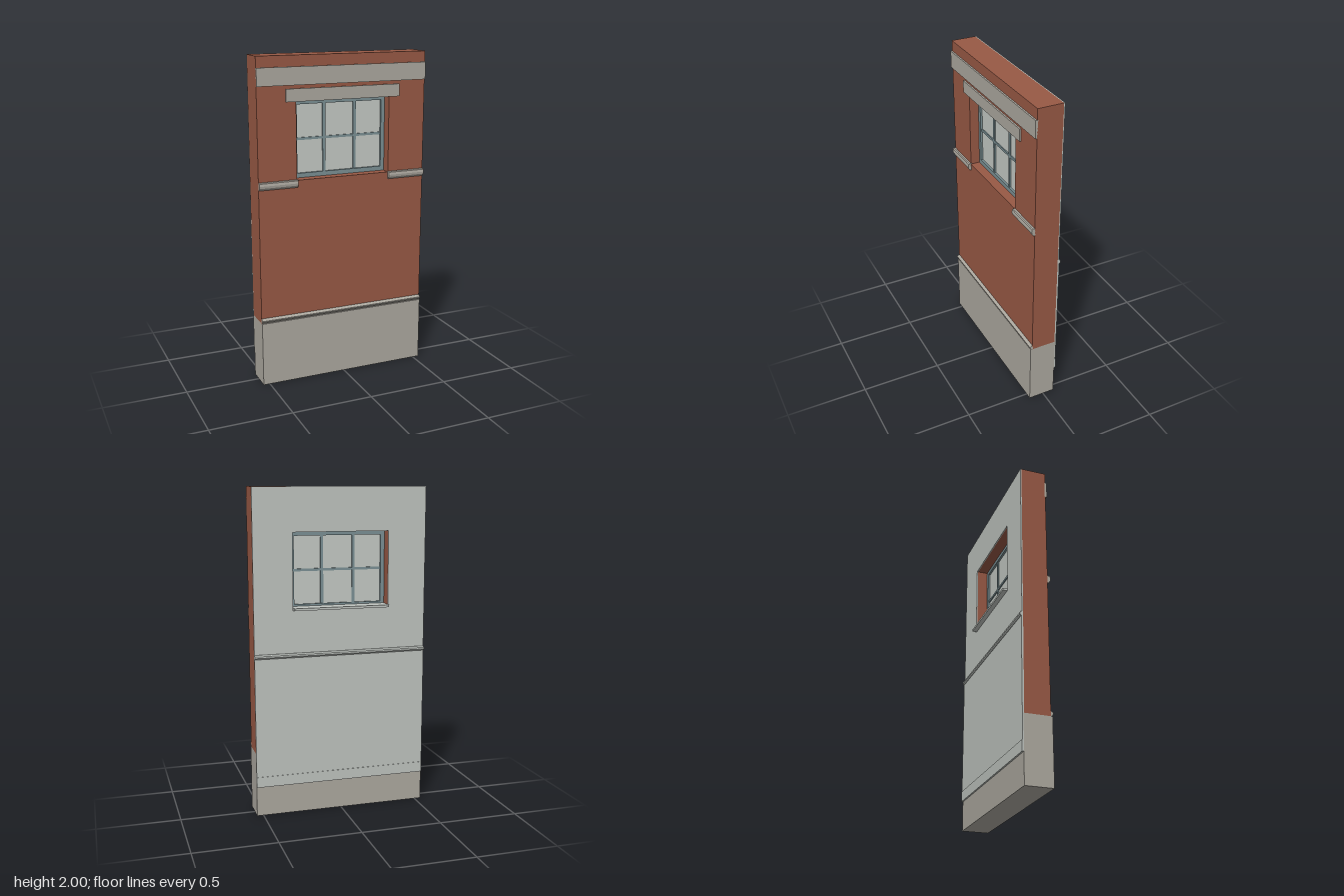
import * as THREE from 'three';

const mat = (name, color) => {
  const m = new THREE.MeshStandardMaterial({ color });
  m.name = name;
  return m;
};

export function createModel() {
  const brick = mat('red brick', 0x985945);
  const stone = mat('grey stone', 0xaca89f);
  const plaster = mat('pale plaster', 0xbfc4bf);
  const paint = mat('blue grey paint', 0x7b9094);
  const glass = mat('pale glass', 0xc5cac5);

  const model = new THREE.Group();
  model.name = 'wallWithWindow';
  const W = 0.54; // half width of the wall
  const win = { x: 0.3, y0: 1.27, y1: 1.735 };

  const add = (name, geometry, material, parent = model) => {
    const mesh = new THREE.Mesh(geometry, material);
    mesh.name = name;
    parent.add(mesh);
    return mesh;
  };

  // box given by its limits on each axis
  const box = (name, material, x0, x1, y0, y1, z0, z1, parent) => {
    const g = new THREE.BoxGeometry(x1 - x0, y1 - y0, z1 - z0);
    g.translate((x0 + x1) / 2, (y0 + y1) / 2, (z0 + z1) / 2);
    return add(name, g, material, parent);
  };

  const rect = (S, x0, x1, y0, y1) => new S([
    [x0, y0], [x1, y0], [x1, y1], [x0, y1],
  ].map(([x, y]) => new THREE.Vector2(x, y)));

  // upright slab with a rectangular opening
  const slab = (name, material, outer, hole, z0, z1, parent) => {
    const shape = rect(THREE.Shape, ...outer);
    shape.holes.push(rect(THREE.Path, ...hole));
    const g = new THREE.ExtrudeGeometry(shape, { depth: z1 - z0, bevelEnabled: false });
    g.translate(0, 0, z0);
    return add(name, g, material, parent);
  };

  // moulding: a [z, y] profile run along x
  const moulding = (name, material, profile, x0, x1) => {
    const shape = new THREE.Shape(profile.map(([z, y]) => new THREE.Vector2(-z, y)));
    const g = new THREE.ExtrudeGeometry(shape, { depth: x1 - x0, bevelEnabled: false });
    g.rotateY(Math.PI / 2).translate(x0, 0, 0);
    return add(name, g, material);
  };

  // wall body, plinth and inner lining
  const opening = [-win.x, win.x, win.y0, win.y1];
  slab('brickWall', brick, [-W, W, 0.4, 2], opening, -0.07, 0.085);
  box('plinth', stone, -W, W, 0, 0.4, -0.074, 0.095);
  slab('plasterLining', plaster, [-W, W, 0.2, 2], opening, -0.077, -0.07);

  // outer stone trim
  moulding('plinthCap', stone,
    [[0.08, 0.4], [0.092, 0.402], [0.101, 0.414], [0.101, 0.42], [0.085, 0.432], [0.08, 0.432]], -W, W);
  box('corniceBand', stone, -W, W, 1.83, 1.935, 0.08, 0.095);
  box('lintel', stone, -0.365, 0.365, 1.735, 1.81, 0.08, 0.095);
  const sillProfile = [[0.08, 1.228], [0.092, 1.228], [0.103, 1.242],
    [0.105, 1.255], [0.102, 1.27], [0.096, 1.275], [0.08, 1.275]];
  moulding('rightSillBand', stone, sillProfile, -W, -0.298);
  moulding('leftSillBand', stone, sillProfile, 0.298, W);

  // inner trim
  box('wainscot', plaster, -W, W, 0.19, 0.99, -0.081, -0.074);
  box('skirting', plaster, -W, W, 0.185, 0.25, -0.084, -0.074);
  moulding('chairRail', plaster,
    [[-0.075, 0.985], [-0.083, 0.985], [-0.09, 0.994], [-0.09, 1.004], [-0.083, 1.012], [-0.075, 1.012]], -W, W);
  box('innerSill', plaster, -0.297, 0.297, 1.2715, 1.286, -0.105, 0);

  // window
  const windowGroup = new THREE.Group();
  windowGroup.name = 'window';
  model.add(windowGroup);
  slab('windowFrame', paint, [-0.299, 0.299, win.y0 + 0.001, win.y1 - 0.001],
    [-0.275, 0.275, 1.298, 1.71], -0.005, 0.027, windowGroup);
  box('pane', glass, -0.278, 0.278, 1.295, 1.713, 0.008, 0.014, windowGroup);
  for (const x of [-0.1, 0.1]) {
    box('uprightBar', paint, x - 0.009, x + 0.009, 1.297, 1.711, 0, 0.022, windowGroup);
  }
  box('crossBar', paint, -0.276, 0.276, 1.497, 1.512, 0.001, 0.021, windowGroup);

  return model;
}
